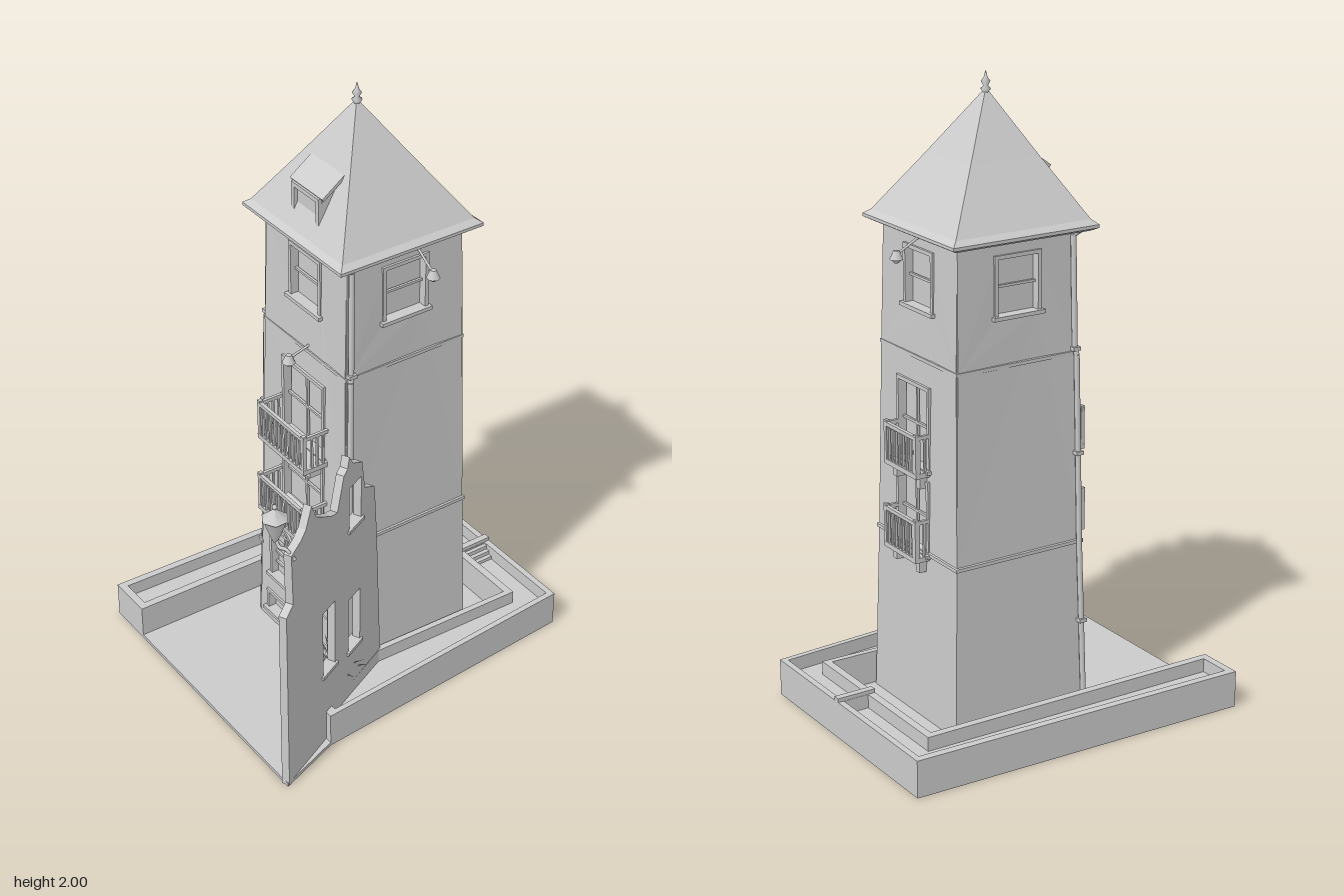
import * as THREE from 'three';

const grey = new THREE.MeshStandardMaterial({ color: 0xcccccc, side: THREE.DoubleSide });

function add(parent, name, geo, x = 0, y = 0, z = 0) {
  const m = new THREE.Mesh(geo, grey);
  m.name = name;
  m.position.set(x, y, z);
  parent.add(m);
  return m;
}
const box = (p, name, w, h, d, x, y, z) => add(p, name, new THREE.BoxGeometry(w, h, d), x, y, z);
const poly = (pts) => new THREE.Shape(pts.map(([x, y]) => new THREE.Vector2(x, y)));
const extrude = (shape, depth) =>
  new THREE.ExtrudeGeometry(shape, { depth, bevelEnabled: false, curveSegments: 8 });

function rod(p, name, a, b, r) {
  const va = new THREE.Vector3(...a), d = new THREE.Vector3(...b).sub(va);
  const m = add(p, name, new THREE.CylinderGeometry(r, r, d.length(), 8));
  m.position.copy(va).addScaledVector(d, 0.5);
  m.quaternion.setFromUnitVectors(new THREE.Vector3(0, 1, 0), d.normalize());
}

// Flat slab from a ground plan of [x, z] corners, with optional holes
function slab(p, name, plan, y, h, holes = []) {
  const flip = (pts) => poly(pts.map(([x, z]) => [x, -z]));
  const s = flip(plan);
  s.holes = holes.map(flip);
  add(p, name, extrude(s, h).rotateX(-Math.PI / 2), 0, y, 0);
}

// Opening outline, optionally round-topped, grown by g
function outline({ x, y, w, h, arch }, g = 0) {
  const a = x - w / 2 - g, b = x + w / 2 + g, lo = y - g, hi = y + h + g, s = new THREE.Shape();
  const r = (b - a) / 2;
  s.moveTo(a, lo).lineTo(b, lo);
  if (arch) s.lineTo(b, hi - r).absarc(x, hi - r, r, 0, Math.PI, false);
  else s.lineTo(b, hi).lineTo(a, hi);
  s.lineTo(a, lo);
  return s;
}

// Half width of the tapering tower at a given height
function half(y) {
  if (y < 0.56) return 0.24 - 0.014 * (y / 0.56);
  if (y < 1.165) return 0.226 - 0.01 * ((y - 0.56) / 0.605);
  return 0.212 - 0.006 * ((y - 1.165) / 0.385);
}
const T = 0.022; // wall thickness in front of the core

function wallFace(face, openings) {
  const tiers = [0, 0.56, 1.165, 1.55];
  const s = poly([...tiers.map((y) => [half(y), y]), ...tiers.map((y) => [-half(y), y]).reverse()]);
  s.holes = openings.map((o) => outline(o));
  const geo = extrude(s, T), pos = geo.attributes.position;
  for (let i = 0; i < pos.count; i++) pos.setZ(i, pos.getZ(i) - T + half(pos.getY(i)));
  geo.computeVertexNormals();
  add(face, 'wall', geo);
  for (const o of openings) {
    const z = half(o.y + o.h / 2), f = outline(o, 0.012);
    f.holes = [outline(o)];
    add(face, 'openingFrame', extrude(f, 0.012), 0, 0, z - 0.006);
    box(face, 'sill', o.w + 0.04, 0.012, 0.025, o.x, o.y - 0.006, z + 0.004);
    for (let i = 1; i < o.cols; i++)
      box(face, 'mullion', 0.008, o.h, 0.008, o.x - o.w / 2 + (o.w * i) / o.cols, o.y + o.h / 2, z - 0.014);
    for (let i = 1; i < o.rows; i++)
      box(face, 'glazingBar', o.w, 0.008, 0.008, o.x, o.y + (o.h * i) / o.rows, z - 0.014);
  }
}

function balcony(face, x, y, w, d) {
  const g = new THREE.Group();
  g.name = 'balcony';
  g.position.set(x, y, half(y) - 0.01);
  face.add(g);
  d += 0.01;
  box(g, 'balconyFloor', w, 0.016, d, 0, 0.008, d / 2);
  for (const s of [-1, 1]) {
    box(g, 'bracket', 0.02, 0.04, d * 0.6, s * w * 0.36, -0.02, d * 0.3);
    box(g, 'sideRail', 0.01, 0.012, d, s * (w / 2 - 0.006), 0.128, d / 2);
    box(g, 'cornerPost', 0.013, 0.13, 0.013, s * (w / 2 - 0.007), 0.075, d - 0.007);
    for (let z = 0.025; z < d - 0.015; z += 0.02)
      box(g, 'baluster', 0.007, 0.115, 0.007, s * (w / 2 - 0.006), 0.07, z);
  }
  box(g, 'frontRail', w, 0.012, 0.012, 0, 0.128, d - 0.006);
  const n = Math.round(w / 0.021);
  for (let i = 1; i < n; i++) box(g, 'baluster', 0.007, 0.115, 0.007, -w / 2 + (w * i) / n, 0.07, d - 0.006);
}

function lamp(face, x, y0, y1, z) {
  rod(face, 'lampArm', [x, y0, half(y0) - 0.01], [x, y1, z], 0.004);
  add(face, 'lampHead', new THREE.CylinderGeometry(0.009, 0.021, 0.026, 8), x, y1, z);
  add(face, 'lampBulb', new THREE.SphereGeometry(0.014, 8, 6), x, y1 - 0.012, z);
}

// Four-sided solid from [halfWidth, y] pairs
function square(profile) {
  const pts = profile.map(([h, y]) => new THREE.Vector2(h * Math.SQRT2, y));
  const g = new THREE.LatheGeometry(pts, 4, Math.PI / 4).toNonIndexed();
  g.computeVertexNormals();
  return g;
}

function buildTower(root) {
  const tower = new THREE.Group();
  tower.name = 'tower';
  tower.position.set(0, 0, -0.06);
  root.add(tower);
  add(tower, 'core', square([0, 0.56, 1.165, 1.55].map((y) => [half(y) - T, y])));
  for (const y of [0.56, 1.165])
    add(tower, 'floorBand', square([[half(y) - 0.01, y - 0.012], [half(y) + 0.005, y - 0.006], [half(y) + 0.005, y + 0.005], [half(y) - 0.01, y + 0.012]]));

  const top = { x: 0, y: 1.32, w: 0.14, h: 0.17, cols: 1, rows: 2 };
  const doors = (x, w) => [0.56, 0.83].map((y) => ({ x, y, w, h: y < 0.7 ? 0.22 : 0.245, cols: 2, rows: 2 }));
  const faces = [
    [top, ...doors(0, 0.2),
      { x: -0.115, y: 0.21, w: 0.11, h: 0.21, arch: true, cols: 2, rows: 5 },
      { x: 0.085, y: 0.06, w: 0.12, h: 0.38, arch: true, cols: 1, rows: 1 },
      { x: -0.135, y: 0.06, w: 0.1, h: 0.06, cols: 1, rows: 1 }],
    [top],
    [top, ...doors(-0.02, 0.16)],
    [top],
  ].map((openings, i) => {
    const f = new THREE.Group();
    f.name = ['frontFace', 'rightFace', 'backFace', 'leftFace'][i];
    f.rotation.y = (i * Math.PI) / 2;
    tower.add(f);
    wallFace(f, openings);
    return f;
  });
  for (const y of [0.54, 0.81]) {
    balcony(faces[0], 0.005, y, 0.25, 0.09);
    balcony(faces[2], -0.02, y, 0.185, 0.05);
  }
  lamp(faces[0], 0.02, 1.19, 1.165, 0.285);
  lamp(faces[1], 0.04, 1.54, 1.48, 0.29);
  lamp(faces[2], 0, 1.54, 1.49, 0.285);

  // Front door leaf panels, knob and steps
  for (const y of [0.14, 0.28]) box(faces[0], 'doorPanel', 0.085, 0.11, 0.008, 0.085, y, half(y) - T);
  box(faces[0], 'transom', 0.12, 0.01, 0.012, 0.085, 0.37, half(0.37) - 0.015);
  add(faces[0], 'doorKnob', new THREE.SphereGeometry(0.007, 8, 6), 0.045, 0.21, half(0.21) - 0.014);
  for (let i = 0; i < 3; i++) box(faces[0], 'step', 0.155, 0.018, 0.07 - i * 0.02, 0.08, 0.019 + i * 0.017, 0.265 - i * 0.01);

  // Drainpipes on the front corners
  for (const s of [-1, 1]) {
    const at = (y, out = 0.008) => [s * (half(y) + out), y, half(y) - 0.012];
    const stops = [0.01, 0.56, 1.16, 1.18, 1.53].map((y) => at(y));
    if (s > 0) stops.splice(0, 1);
    stops.slice(1).forEach((b, i) => rod(tower, 'drainpipe', stops[i], b, 0.009));
    for (const y of [0.3, 0.85, 1.18]) if (s < 0 || y > 0.5) box(tower, 'pipeClamp', 0.026, 0.012, 0.026, ...at(y));
    rod(tower, 'pipeElbow', at(1.53), [s * 0.235, 1.555, 0.225], 0.009);
  }
}

function buildRoof(root) {
  const roof = new THREE.Group();
  roof.name = 'roof';
  root.add(roof);
  const geo = square([[0, 1.54], [0.235, 1.54], [0.254, 1.55], [0.254, 1.56], [0.235, 1.575], [0.12, 1.755], [0.008, 1.935], [0, 1.935]]);
  const pos = geo.attributes.position;
  for (let i = 0; i < pos.count; i++) { // the tip leans slightly off centre
    const t = Math.max(0, (pos.getY(i) - 1.56) / 0.375);
    pos.setX(i, pos.getX(i) - 0.004 + 0.014 * t);
    pos.setZ(i, pos.getZ(i) - 0.057 + 0.03 * t);
  }
  geo.computeVertexNormals();
  add(roof, 'roofSlopes', geo);
  const finial = [[0.012, 1.915], [0.009, 1.935], [0.016, 1.945], [0.007, 1.953], [0.014, 1.966], [0.006, 1.978], [0, 2]];
  add(roof, 'finial', new THREE.LatheGeometry(finial.map(([x, y]) => new THREE.Vector2(x, y)), 12), 0.01, 0, -0.027);

  // Dormer: side profile swept across its width, with a framed front
  const profile = poly([[0.05, 1.6], [0.142, 1.6], [0.142, 1.705], [0.07, 1.757], [0.03, 1.757]]);
  add(roof, 'dormer', extrude(profile, 0.14).rotateY(-Math.PI / 2), 0.078, 0, 0);
  const o = { x: 0.008, y: 1.618, w: 0.11, h: 0.075 }, f = outline(o, 0.014);
  f.holes = [outline(o)];
  add(roof, 'dormerFrame', extrude(f, 0.014), 0, 0, 0.14);
  const lid = box(roof, 'dormerLid', 0.165, 0.01, 0.095, 0.008, 1.735, 0.108);
  lid.rotation.x = Math.atan2(0.052, 0.072);
}

function buildBase(root) {
  const base = new THREE.Group();
  base.name = 'base';
  root.add(base);
  slab(base, 'courtyard', [[-0.505, 0.57], [-0.47, -0.58], [0.36, -0.58], [0.425, 0.36], [0.5, 0.57]], 0, 0.012);
  // Raised border with sunken troughs
  const plan = [[-0.505, 0.57], [-0.47, -0.58], [0.36, -0.58], [0.425, 0.36], [0.385, 0.36],
    [0.24, 0.06], [0.255, -0.45], [-0.335, -0.45], [-0.35, 0.57]];
  slab(base, 'troughBed', plan, 0.005, 0.07);
  slab(base, 'troughRim', plan, 0.07, 0.05, [
    [[-0.48, 0.545], [-0.445, -0.56], [-0.012, -0.56], [-0.012, -0.475], [-0.36, -0.475], [-0.375, 0.545]],
    [[0.012, -0.56], [0.342, -0.56], [0.405, 0.33], [0.385, 0.33], [0.26, 0.06], [0.275, -0.475], [0.012, -0.475]]]);
  box(base, 'partition', 0.022, 0.065, 0.13, 0, 0.1, -0.515);
  for (let i = 0; i < 3; i++) box(base, 'troughStep', 0.014, 0.045 - i * 0.014, 0.1, 0.018 + i * 0.014, 0.092 - i * 0.007, -0.517);
}

function buildRuin(root) {
  const ruin = new THREE.Group();
  ruin.name = 'ruinedWall';
  const dx = 0.245, dz = 0.51, L = Math.hypot(dx, dz), s = (z) => ((z - 0.06) / dz) * L;
  const edge = [[0.57, 0], [0.57, 0.655], [0.535, 0.68], [0.54, 0.86], [0.49, 0.88], [0.465, 0.9], [0.435, 0.963],
    [0.41, 0.905], [0.365, 0.873], [0.33, 0.85], [0.3, 0.84], [0.265, 0.947], [0.245, 0.96], [0.235, 0.995], [0.215, 0.96],
    [0.165, 0.93], [0.15, 0.825], [0.095, 0.79], [0.08, 0.6], [0.055, 0.13], [0.055, 0]];
  const shape = poly(edge.map(([z, y]) => [s(z), y]));
  const gaps = [[0.315, 0.38, 0.28, 0.52], [0.175, 0.24, 0.26, 0.46], [0.17, 0.235, 0.73, 0.88]];
  shape.holes = gaps.map(([a, b, lo, hi]) => poly([[s(a), lo], [s(b), lo], [s(b), hi], [s(a), hi]]));
  add(ruin, 'brokenWall', extrude(shape, 0.026), 0, 0, -0.013);
  for (const [a, b, lo] of gaps) box(ruin, 'windowLedge', s(b) - s(a) + 0.02, 0.012, 0.04, s((a + b) / 2), lo - 0.006, 0);
  ruin.position.set(0.243, 0, 0.06);
  ruin.rotation.y = -Math.atan2(dz, dx);
  root.add(ruin);

  // Lantern hung from the wall on a curled bracket
  const lantern = new THREE.Group();
  lantern.name = 'lantern';
  lantern.position.set(0.42, 0, 0.545);
  root.add(lantern);
  add(lantern, 'lanternRoof', new THREE.ConeGeometry(0.042, 0.035, 6), 0, 0.978, 0);
  add(lantern, 'lanternGlass', new THREE.CylinderGeometry(0.038, 0.016, 0.06, 6), 0, 0.931, 0);
  add(lantern, 'lanternFoot', new THREE.CylinderGeometry(0.016, 0.006, 0.025, 6), 0, 0.89, 0);
  add(lantern, 'lanternTip', new THREE.SphereGeometry(0.008, 8, 6), 0, 1.0, 0);
  const arm = new THREE.CatmullRomCurve3([[0, 0.89, 0], [0.015, 0.865, -0.004], [0.04, 0.87, -0.01], [0.062, 0.84, -0.025]]
    .map((v) => new THREE.Vector3(...v)));
  add(lantern, 'lanternArm', new THREE.TubeGeometry(arm, 16, 0.006, 6));
}

function buildPlant(root) {
  const plant = new THREE.Group();
  plant.name = 'pottedPlant';
  plant.position.set(0.27, 0.012, 0.24);
  root.add(plant);
  const pot = [[0, 0], [0.022, 0], [0.036, 0.045], [0.03, 0.07], [0.036, 0.08], [0.028, 0.08], [0.026, 0.07], [0, 0.07]];
  add(plant, 'pot', new THREE.LatheGeometry(pot.map(([x, y]) => new THREE.Vector2(x, y)), 14));
  rod(plant, 'stem', [0, 0.06, 0], [0, 0.15, 0], 0.012);
  for (let i = 0; i < 26; i++) { // spiky leaves, flatter towards the outside
    const len = 0.1 + 0.012 * (i % 3), leaf = new THREE.ConeGeometry(0.011, len, 4).translate(0, len / 2, 0).scale(1, 1, 0.4);
    const m = add(plant, 'leaf', leaf, 0, 0.13, 0);
    m.rotation.set(0.25 + 1.3 * (i / 25), i * 2.4, 0, 'YXZ');
  }
}

export function createModel() {
  const root = new THREE.Group();
  root.name = 'ruinedTower';
  buildBase(root);
  buildTower(root);
  buildRoof(root);
  buildRuin(root);
  buildPlant(root);
  return root;
}
